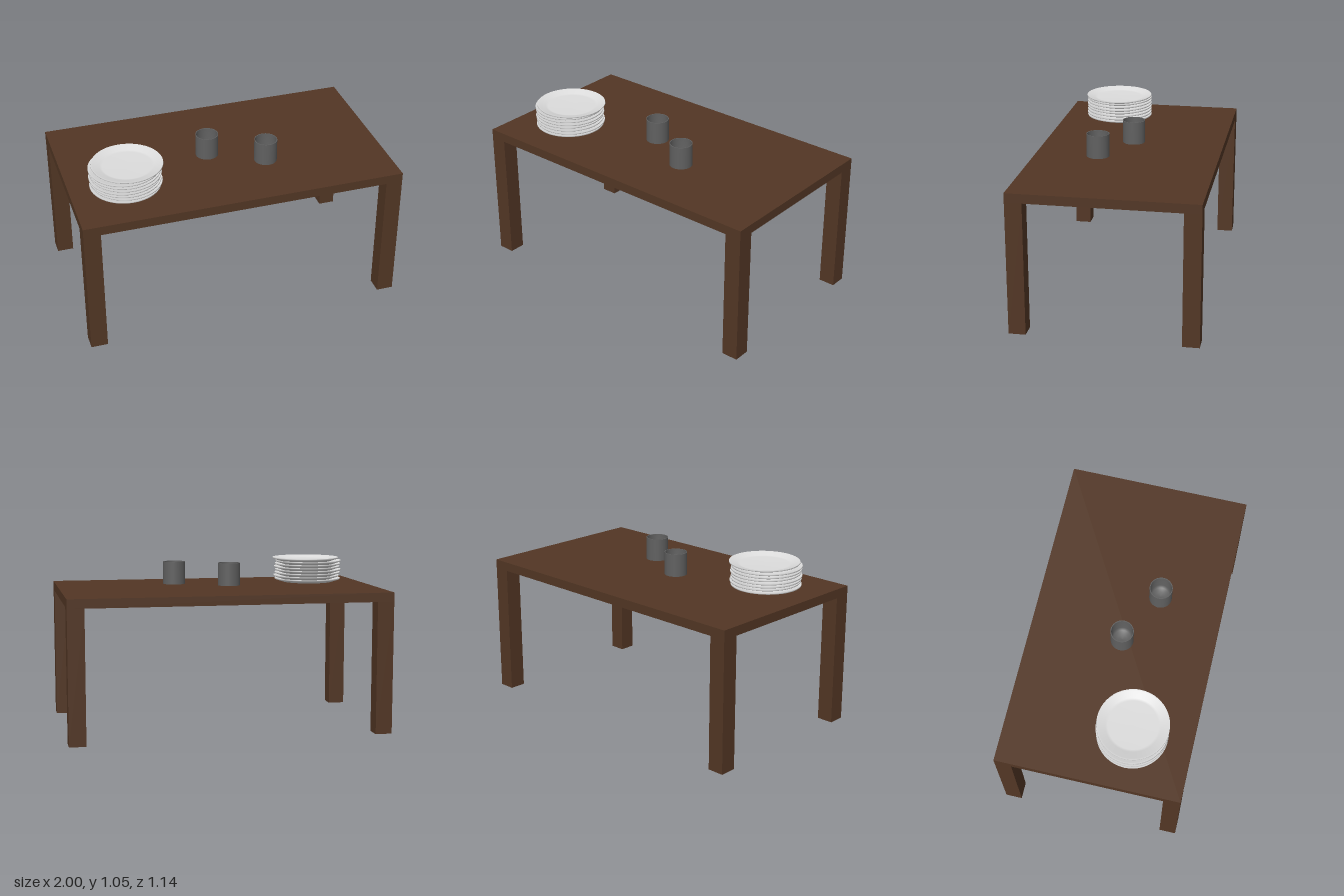
import * as THREE from 'three';

const wood = new THREE.MeshStandardMaterial({ color: 0x523624 });
wood.name = 'dark wood';
const china = new THREE.MeshStandardMaterial({ color: 0xdcdcdc });
china.name = 'white china';
const clay = new THREE.MeshStandardMaterial({ color: 0x606060 });
clay.name = 'grey stoneware';

const WIDTH = 2, DEPTH = 1.14, TOP = 0.882, SLAB = 0.057, LEG = 0.104;

function add(parent, name, geometry, material, x, y, z) {
  const mesh = new THREE.Mesh(geometry, material);
  mesh.name = name;
  mesh.position.set(x, y, z);
  parent.add(mesh);
  return mesh;
}

// Closed lathe from [radius, height] pairs, running from the base centre up and back inside.
// Doubled corner points keep the edges crisp.
function turned(profile, segments) {
  const points = profile.map(([r, y]) => new THREE.Vector2(r, y));
  return new THREE.LatheGeometry(points, segments);
}

export function createModel() {
  const model = new THREE.Group();
  model.name = 'laidTable';

  // Table: slab and four corner legs
  const table = new THREE.Group();
  table.name = 'table';
  model.add(table);
  add(table, 'tableTop', new THREE.BoxGeometry(WIDTH, SLAB, DEPTH), wood, 0, TOP - SLAB / 2, 0);
  const legHeight = TOP - SLAB;
  const legGeometry = new THREE.BoxGeometry(LEG, legHeight, LEG);
  for (const [side, sx] of [['Left', 1], ['Right', -1]]) {
    for (const [end, sz] of [['front', 1], ['back', -1]]) {
      add(table, `${end}${side}Leg`, legGeometry, wood,
        sx * (WIDTH - LEG) / 2, legHeight / 2, sz * (DEPTH - LEG) / 2);
    }
  }

  // Stack of eight plates, each shifted a little
  const plates = new THREE.Group();
  plates.name = 'plateStack';
  model.add(plates);
  const plateGeometry = turned([
    [0, 0], [0.163, 0], [0.163, 0], [0.215, 0.017], [0.215, 0.017], [0.218, 0.021], [0.217, 0.026],
    [0.217, 0.026], [0.208, 0.025], [0.165, 0.011], [0.15, 0.008], [0, 0.007],
  ], 48);
  const shifts = [-0.656, -0.648, -0.655, -0.659, -0.652, -0.657, -0.66, -0.641];
  shifts.forEach((x, i) => {
    add(plates, `plate${i + 1}`, plateGeometry, china, x, 0.885 + i * 0.0195, 0.2);
  });

  // Two hollow cups
  const cupGeometry = turned([
    [0, 0], [0.071, 0], [0.071, 0], [0.071, 0.144], [0.071, 0.144], [0.066, 0.144], [0.066, 0.144],
    [0.065, 0.04], [0.055, 0.018], [0.03, 0.009], [0, 0.007],
  ], 40);
  add(model, 'rightCup', cupGeometry, clay, -0.083, 0.889, 0.003);
  add(model, 'leftCup', cupGeometry, clay, 0.246, 0.889, 0.172);

  return model;
}
